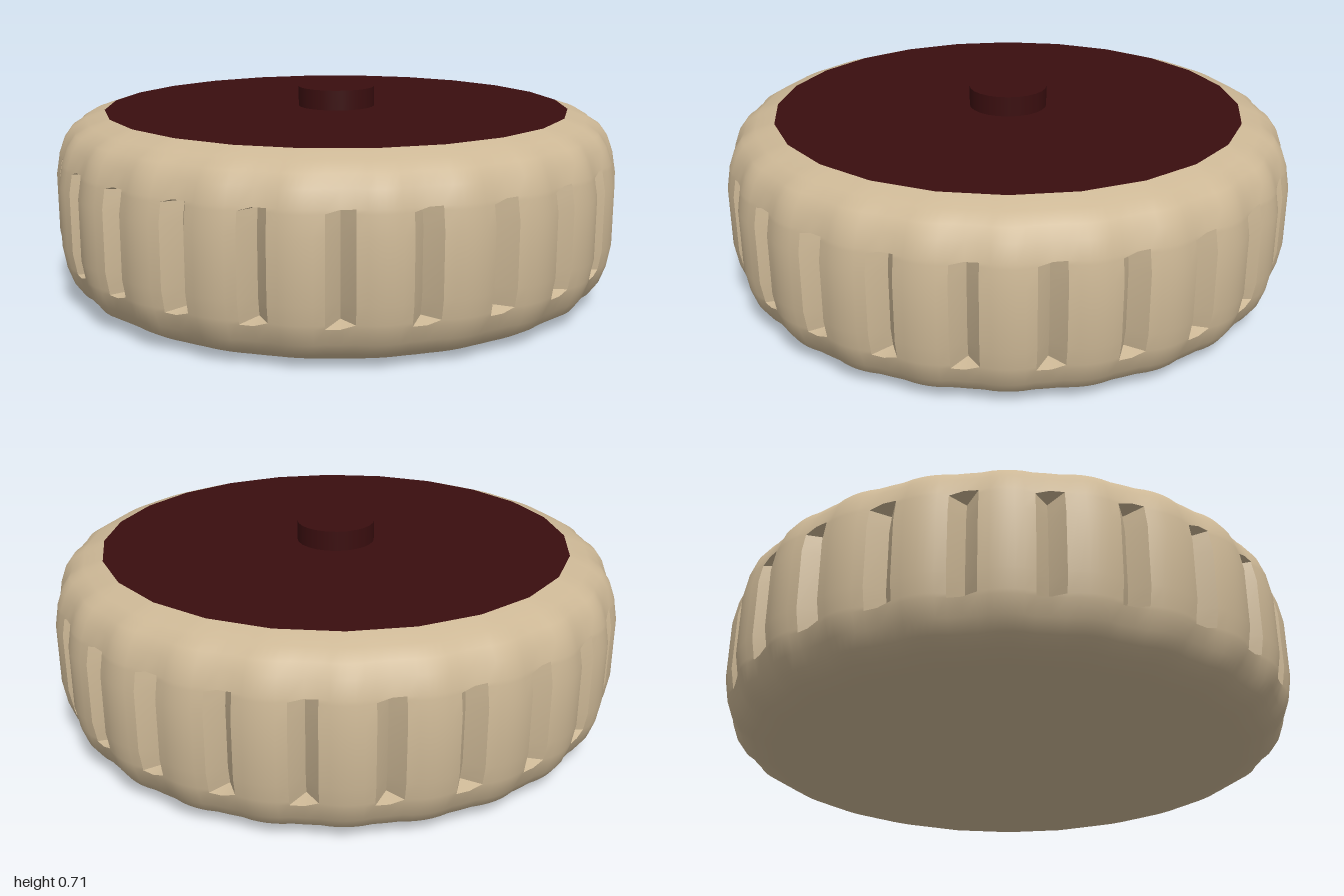
import * as THREE from 'three';
import { toCreasedNormals } from 'three/addons/utils/BufferGeometryUtils.js';

const SECTORS = 24;
const HEIGHT = 0.645;
const DISC_RADIUS = 0.825;
const GROOVE_DEPTH = 0.06;
const DEG = Math.PI / 180;

// Tyre rows: radius, height, rib strength, groove depth factor
const lower = [
  [DISC_RADIUS, 0, 0, 0],
  [0.89, 0.022, 0.3, 0],
  [0.938, 0.05, 0.8, 0],
  [0.967, 0.09, 1, 0],
  [0.987, 0.145, 1, 0],
  [0.989, 0.158, 1, 1],
  [1, 0.22, 1, 1],
];
const rows = [...lower, ...lower.map(([r, y, w, g]) => [r, HEIGHT - y, w, g]).reverse()];

// Angles across one sector, in degrees from the centre of its groove
const steps = [-7.5, -6.2, -4.6, -2.6, 0, 2.6, 4.6, 6.2];

function tyreGeometry() {
  const positions = [], index = [];
  const count = SECTORS * steps.length;
  rows.forEach(([radius, y, rib, groove], row) => {
    const edge = row === 0 || row === rows.length - 1;
    for (let s = 0; s < SECTORS; s++) {
      for (const u of steps) {
        const a = (s * 15 + 7.5 + u) * DEG;
        // ribs bulge between grooves; the V-shaped grooves cut inward
        let r = radius - rib * 0.013 * ((7.5 - Math.max(Math.abs(u), 2.6)) / 4.9) ** 2;
        if (u === 0) r -= groove * GROOVE_DEPTH;
        // the end rows follow the straight sides of the face disc
        if (edge) r = radius * Math.cos(7.5 * DEG) / Math.cos(u * DEG);
        positions.push(r * Math.sin(a), y, r * Math.cos(a));
      }
    }
  });
  for (let i = 0; i < rows.length - 1; i++) {
    for (let j = 0; j < count; j++) {
      const k = (j + 1) % count;
      const a = i * count + j, b = i * count + k;
      index.push(a, b, b + count, a, b + count, a + count);
    }
  }
  // closed underside
  const centre = positions.length / 3;
  positions.push(0, 0, 0);
  for (let j = 0; j < count; j++) index.push(centre, (j + 1) % count, j);

  const geometry = new THREE.BufferGeometry();
  geometry.setAttribute('position', new THREE.Float32BufferAttribute(positions, 3));
  geometry.setIndex(index);
  return toCreasedNormals(geometry, 0.65);
}

export function createModel() {
  const group = new THREE.Group();
  group.name = 'wheel';
  const tan = new THREE.MeshStandardMaterial({ color: 0xcdb896 });
  tan.name = 'tan rubber';
  const maroon = new THREE.MeshStandardMaterial({ color: 0x3a0e0f });
  maroon.name = 'dark maroon';

  const add = (name, geometry, material, y) => {
    const mesh = new THREE.Mesh(geometry, material);
    mesh.name = name;
    mesh.position.y = y;
    group.add(mesh);
  };

  add('tyre', tyreGeometry(), tan, 0);

  // flat wheel face, filling the open top of the tyre
  add('faceDisc', new THREE.CircleGeometry(DISC_RADIUS, SECTORS).rotateX(-Math.PI / 2), maroon, HEIGHT);

  // short axle stub
  add('hub', new THREE.CylinderGeometry(0.137, 0.137, 0.08, 24), maroon, 0.675);

  return group;
}
